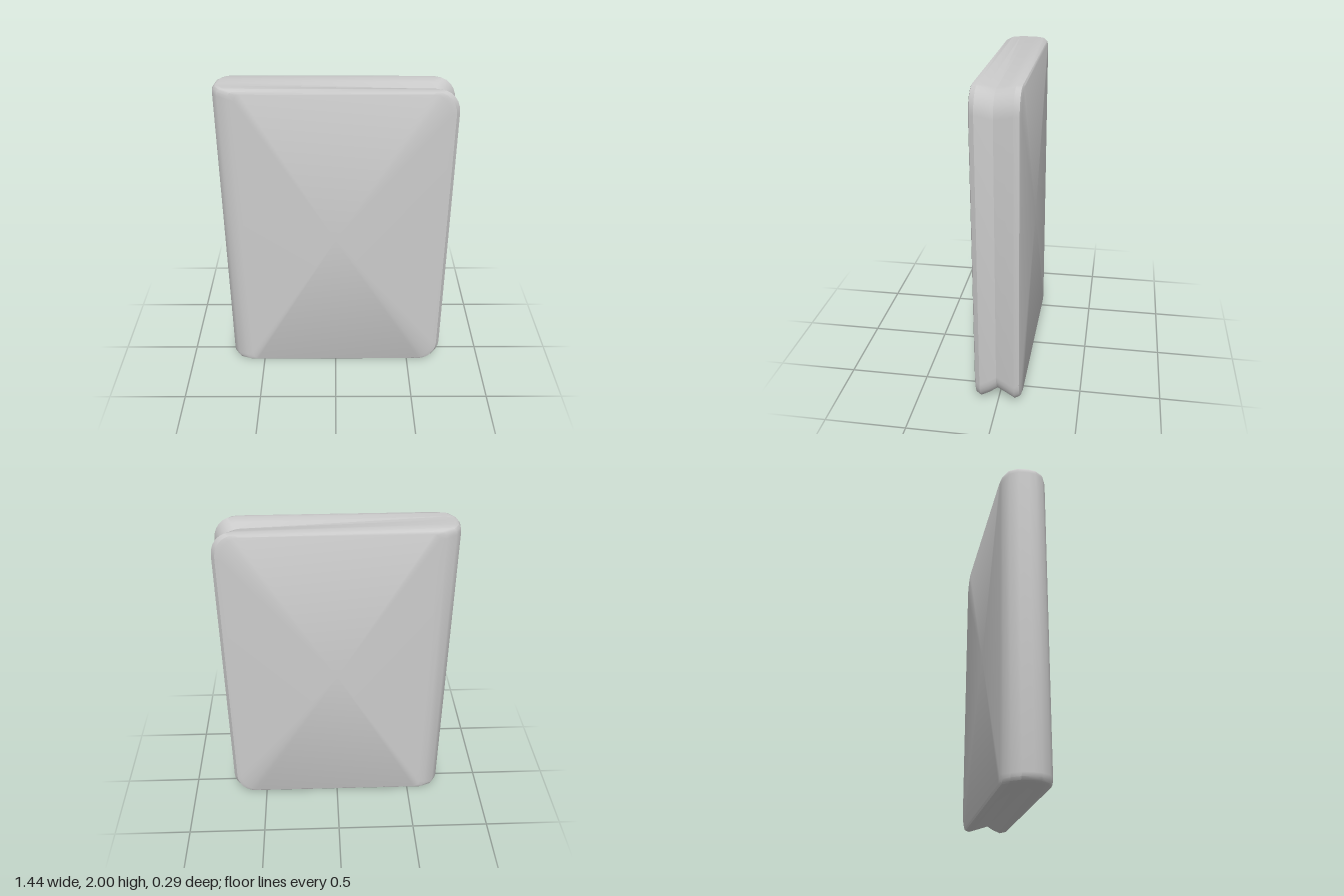
import * as THREE from 'three';
import { toCreasedNormals } from 'three/addons/utils/BufferGeometryUtils.js';

// One outline, counter-clockwise from the front, with tight spine corners,
// large free corners and top/bottom edges that sink toward the free side.
function outline({ z, left, right, insetLeft, insetRight }) {
  const upper = [];
  const topAt = (x) => 1 - THREE.MathUtils.mapLinear(x, left, right, insetLeft, insetRight);
  const corner = (cx, rx, ry, from, to, steps) => {
    for (let i = 0; i <= steps; i++) {
      const a = THREE.MathUtils.lerp(from, to, i / steps);
      const x = cx + rx * Math.cos(a);
      upper.push([x, topAt(x) - ry * (1 - Math.sin(a))]);
    }
  };
  corner(right - 0.12, 0.12, 0.14, 0, Math.PI / 2, 6);
  corner(left + 0.035, 0.035, 0.045, Math.PI / 2, Math.PI, 3);
  const lower = upper.map(([x, y]) => [x, -y]).reverse();
  return [...upper, ...lower].map(([x, y]) => new THREE.Vector3(x, y + 1, z));
}

// Skin a stack of outlines from front to back and close both ends
function loft(rings) {
  const positions = [];
  const tri = (...points) => points.forEach((p) => positions.push(p.x, p.y, p.z));
  const n = rings[0].length;
  for (let k = 0; k < rings.length - 1; k++) {
    for (let i = 0; i < n; i++) {
      const j = (i + 1) % n;
      const [a, b, c, d] = [rings[k][i], rings[k][j], rings[k + 1][i], rings[k + 1][j]];
      tri(a, c, b);
      tri(b, c, d);
    }
  }
  const cap = (ring, flip) => {
    const centre = new THREE.Vector3(0, 1, ring[0].z);
    ring.forEach((p, i) => {
      const q = ring[(i + 1) % n];
      if (flip) tri(centre, q, p);
      else tri(centre, p, q);
    });
  };
  cap(rings[0], false);
  cap(rings[rings.length - 1], true);
  const geometry = new THREE.BufferGeometry();
  geometry.setAttribute('position', new THREE.Float32BufferAttribute(positions, 3));
  return toCreasedNormals(geometry, 0.6);
}

export function createModel() {
  const group = new THREE.Group();
  group.name = 'foldedWallet';

  // Half of the thickness: flat cover, rounded rim, then inward to the fold
  const cover = [
    { z: 0.143, left: -0.58, right: 0.67, insetLeft: 0.02, insetRight: 0.022 },
    { z: 0.135, left: -0.62, right: 0.698, insetLeft: 0.008, insetRight: 0.012 },
    { z: 0.105, left: -0.68, right: 0.72, insetLeft: 0, insetRight: 0.008 },
    { z: 0.055, left: -0.713, right: 0.698, insetLeft: 0, insetRight: 0.022 },
  ];
  // Groove line between the two covers; the spine side stays closed
  const groove = { z: 0.01, left: -0.72, right: 0.674, insetLeft: 0, insetRight: 0.042 };
  const back = cover.map((s) => ({ ...s, z: -s.z })).reverse();
  const rings = [...cover, groove, ...back].map(outline);

  const body = new THREE.Mesh(
    loft(rings),
    new THREE.MeshStandardMaterial({ color: 0xcccccc })
  );
  body.name = 'foldedCover';
  group.add(body);
  return group;
}
